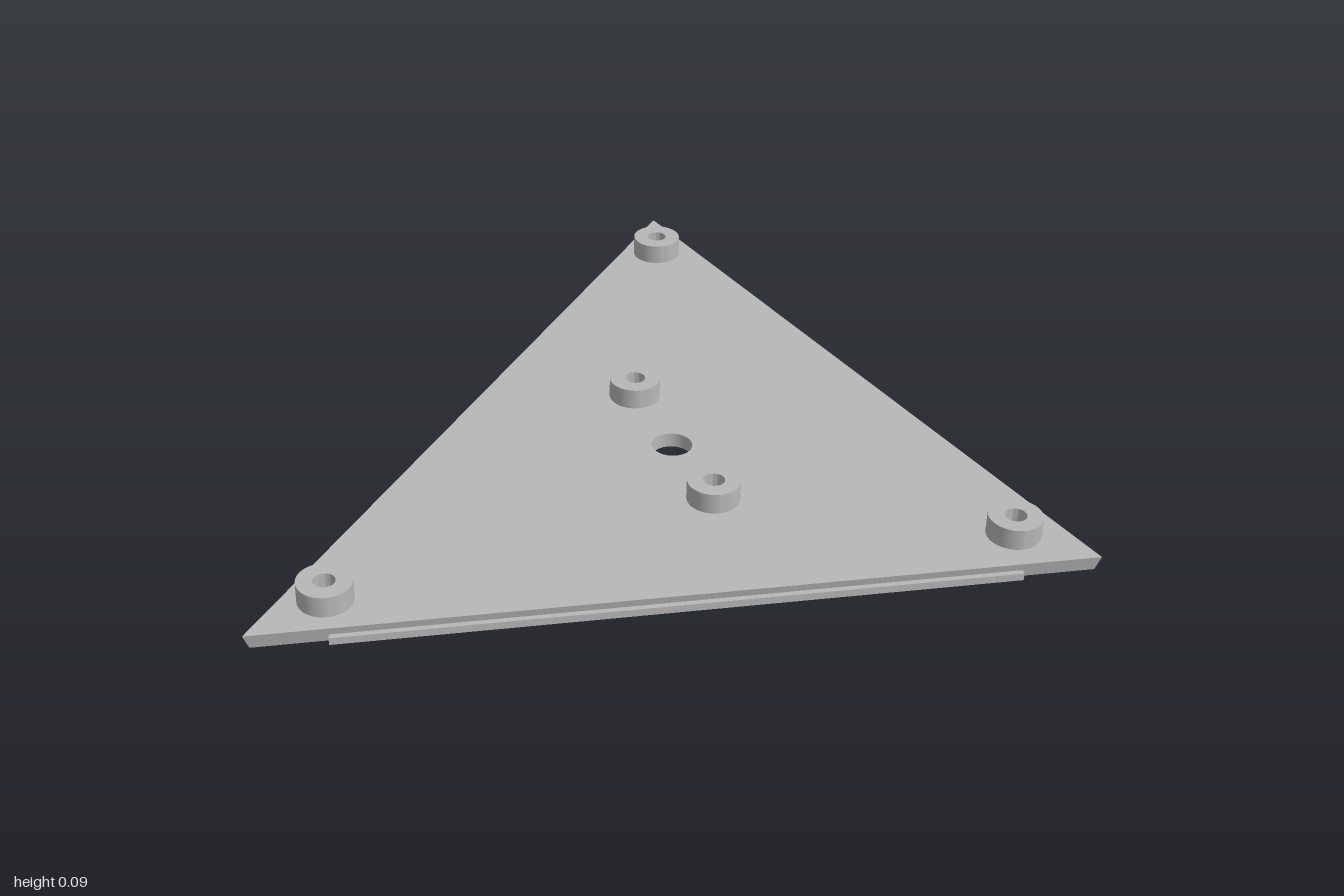
import * as THREE from 'three';
import { toCreasedNormals } from 'three/addons/utils/BufferGeometryUtils.js';

export function createModel() {
  const model = new THREE.Group();
  const grey = new THREE.MeshStandardMaterial({ color: 0xb8b8b8 });
  const thickness = 0.04;
  const centre = { x: 0.21, z: 0.2 };
  const corners = [[-1, 0.605], [0.635, -1], [0.99, 0.995]]; // x, z

  const add = (name, geometry) => {
    const mesh = new THREE.Mesh(geometry, grey);
    mesh.name = name;
    model.add(mesh);
    return mesh;
  };

  // Triangular plate with a central hole; its edges slope inwards to the underside
  const outline = new THREE.Shape(corners.map(([x, z]) => new THREE.Vector2(x, -z)));
  const hole = new THREE.Path();
  hole.absarc(centre.x, -centre.z, 0.052, 0, Math.PI * 2);
  outline.holes.push(hole);
  const plate = new THREE.ExtrudeGeometry(outline, {
    depth: thickness, bevelEnabled: false, curveSegments: 24,
  }).rotateX(-Math.PI / 2);
  const pos = plate.attributes.position;
  for (let i = 0; i < pos.count; i++) {
    const dx = pos.getX(i) - centre.x, dz = pos.getZ(i) - centre.z;
    if (pos.getY(i) < 0.001 && Math.hypot(dx, dz) > 0.2) {
      pos.setX(i, centre.x + dx * 0.988);
      pos.setZ(i, centre.z + dz * 0.988);
    }
  }
  add('plate', toCreasedNormals(plate, 0.6));

  // Narrow lip along the lower half of each edge, stopping short of the corners
  const lipWidth = 0.03, lipOut = 0.01;
  corners.forEach(([ax, az], i) => {
    const [bx, bz] = corners[(i + 1) % 3];
    const length = Math.hypot(bx - ax, bz - az);
    const mx = (ax + bx) / 2, mz = (az + bz) / 2;
    const nx = (bz - az) / length, nz = -(bx - ax) / length; // outward
    const shift = lipOut - lipWidth / 2;
    const lip = add('edgeLip' + (i + 1), new THREE.BoxGeometry(length * 0.81, 0.0195, lipWidth));
    lip.position.set(mx + nx * shift, 0.01025, mz + nz * shift);
    lip.rotation.y = -Math.atan2(bz - az, bx - ax);
  });

  // Hollow standoffs near the corners and either side of the hole
  const profile = [[0.067, 0], [0.067, 0.055], [0.027, 0.055], [0.027, 0]]
    .map(([r, y]) => new THREE.Vector2(r, y));
  const standoff = toCreasedNormals(new THREE.LatheGeometry(profile, 48), 0.6);
  [[-0.79, 0.535], [0.563, -0.797], [0.84, 0.84], [0.206, -0.058], [0.215, 0.458]]
    .forEach(([x, z], i) => add('standoff' + (i + 1), standoff).position.set(x, thickness, z));

  return model;
}
